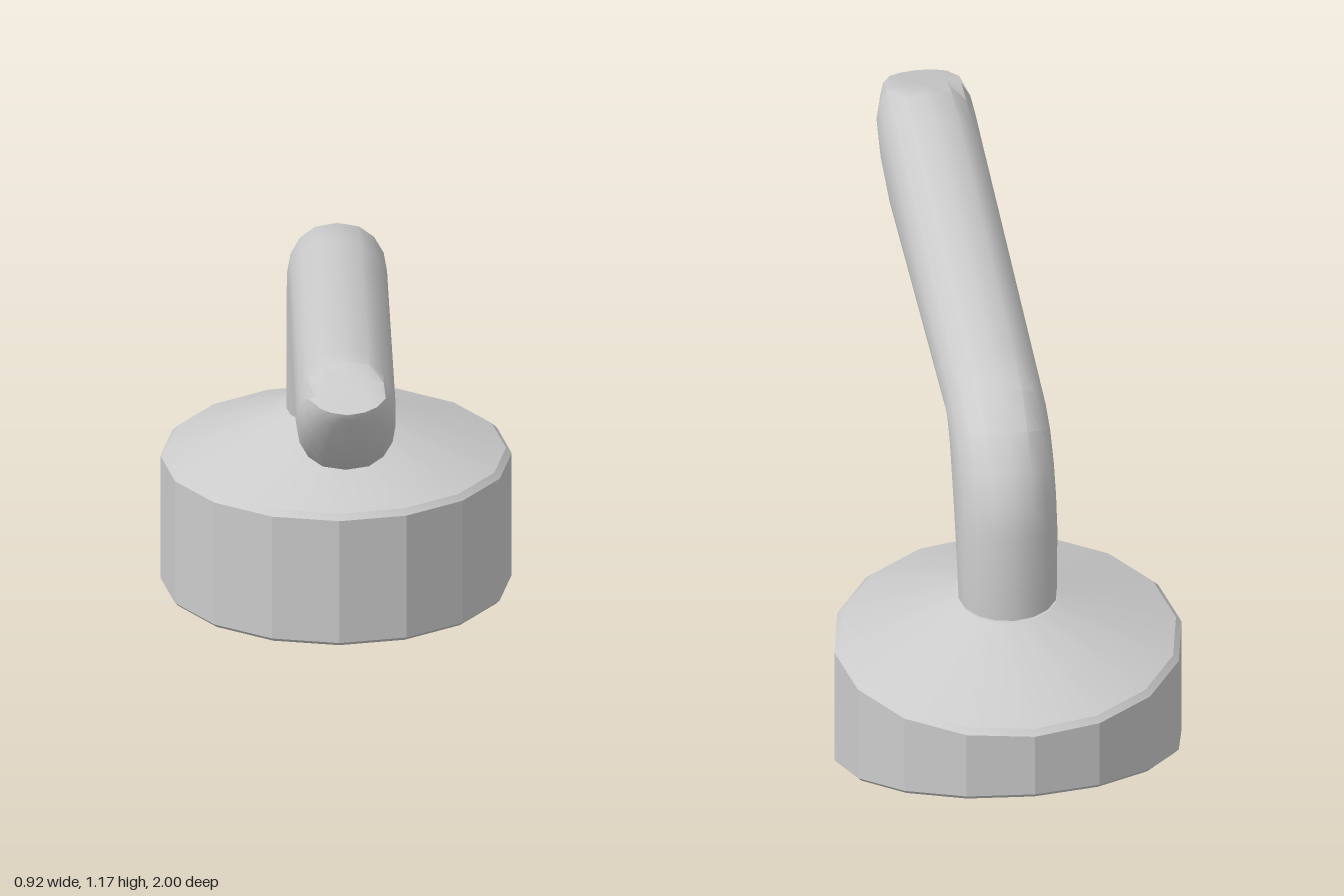
import * as THREE from 'three';
import { toCreasedNormals } from 'three/addons/utils/BufferGeometryUtils.js';

const material = new THREE.MeshStandardMaterial({ color: 0xcccccc });
const BASE_Z = -0.54;

function part(name, geometry, crease) {
  const mesh = new THREE.Mesh(toCreasedNormals(geometry, crease), material);
  mesh.name = name;
  return mesh;
}

// Sixteen-sided body with a conical shoulder; its underside rises towards the back
function baseGeometry() {
  const profile = [
    [0, 0], [0.45, 0], [0.46, 0.01], [0.46, 0.355], [0.445, 0.37], [0.13, 0.49], [0, 0.49],
  ].map(([r, y]) => new THREE.Vector2(r, y));
  const geometry = new THREE.LatheGeometry(profile, 16);
  const pos = geometry.attributes.position;
  for (let i = 0; i < pos.count; i++) {
    const y = pos.getY(i);
    if (y < 0.1) pos.setY(i, y + Math.max(0, -pos.getZ(i)) * 0.35);
  }
  geometry.translate(0, 0, BASE_Z);
  return geometry;
}

// Rounded cross-sections: outer z, y; inner z, y; half width; roundness exponent
const sections = [
  [-0.66, 0.49, -0.41, 0.49, 0.13, 1],
  [-0.66, 0.75, -0.37, 0.59, 0.13, 1],
  [-0.64, 0.84, -0.33, 0.69, 0.13, 1],
  [-0.60, 0.92, -0.30, 0.76, 0.13, 0.95],
  [-0.53, 1.00, -0.28, 0.81, 0.13, 0.9],
  [-0.42, 1.06, -0.27, 0.83, 0.13, 0.85],
  [-0.27, 1.078, -0.27, 0.83, 0.13, 0.85],
  [0.69, 1.16, 0.69, 0.83, 0.13, 0.8],
  [0.80, 1.17, 0.78, 0.855, 0.13, 0.8],
  [0.87, 1.175, 0.87, 0.92, 0.128, 0.8],
  [0.93, 1.175, 0.93, 0.99, 0.108, 0.8],
  [0.97, 1.17, 0.97, 1.05, 0.078, 0.8],
  [0.99, 1.16, 0.99, 1.08, 0.045, 0.8],
  [1.00, 1.10, 1.00, 1.10, 0, 1],
];

// Lofted neck, elbow and arm, with a sloping flat cut across the tip
function leverGeometry() {
  const points = [], index = [], half = 8, ring = 2 * (half + 1);
  for (const [oz, oy, iz, iy, w, power] of sections) {
    const length = Math.hypot(oz - iz, oy - iy);
    const r = Math.min(0.13, length / 2);
    for (let j = 0; j < ring; j++) {
      const upper = j <= half;
      const t = ((upper ? j : j - 1) / half) * Math.PI;
      const c = Math.cos(t);
      const along = (upper ? length - r : r) + r * Math.sin(t);
      const k = length ? along / length : 0;
      const z = iz + (oz - iz) * k;
      let y = iy + (oy - iy) * k;
      if (z > 0.78) y = Math.min(y, 1.17 - 0.35 * (z - 0.8));
      points.push(w * Math.sign(c) * Math.abs(c) ** power, y, z);
    }
  }
  for (let i = 0; i < sections.length - 1; i++) {
    for (let j = 0; j < ring; j++) {
      const a = i * ring + j, b = i * ring + (j + 1) % ring;
      index.push(a, b, a + ring, b, b + ring, a + ring);
    }
  }
  const geometry = new THREE.BufferGeometry();
  geometry.setAttribute('position', new THREE.Float32BufferAttribute(points, 3));
  geometry.setIndex(index);
  return geometry;
}

export function createModel() {
  const model = new THREE.Group();
  model.name = 'leverTap';
  model.add(part('base', baseGeometry(), 0.3));
  model.add(part('lever', leverGeometry(), 0.5));
  return model;
}
